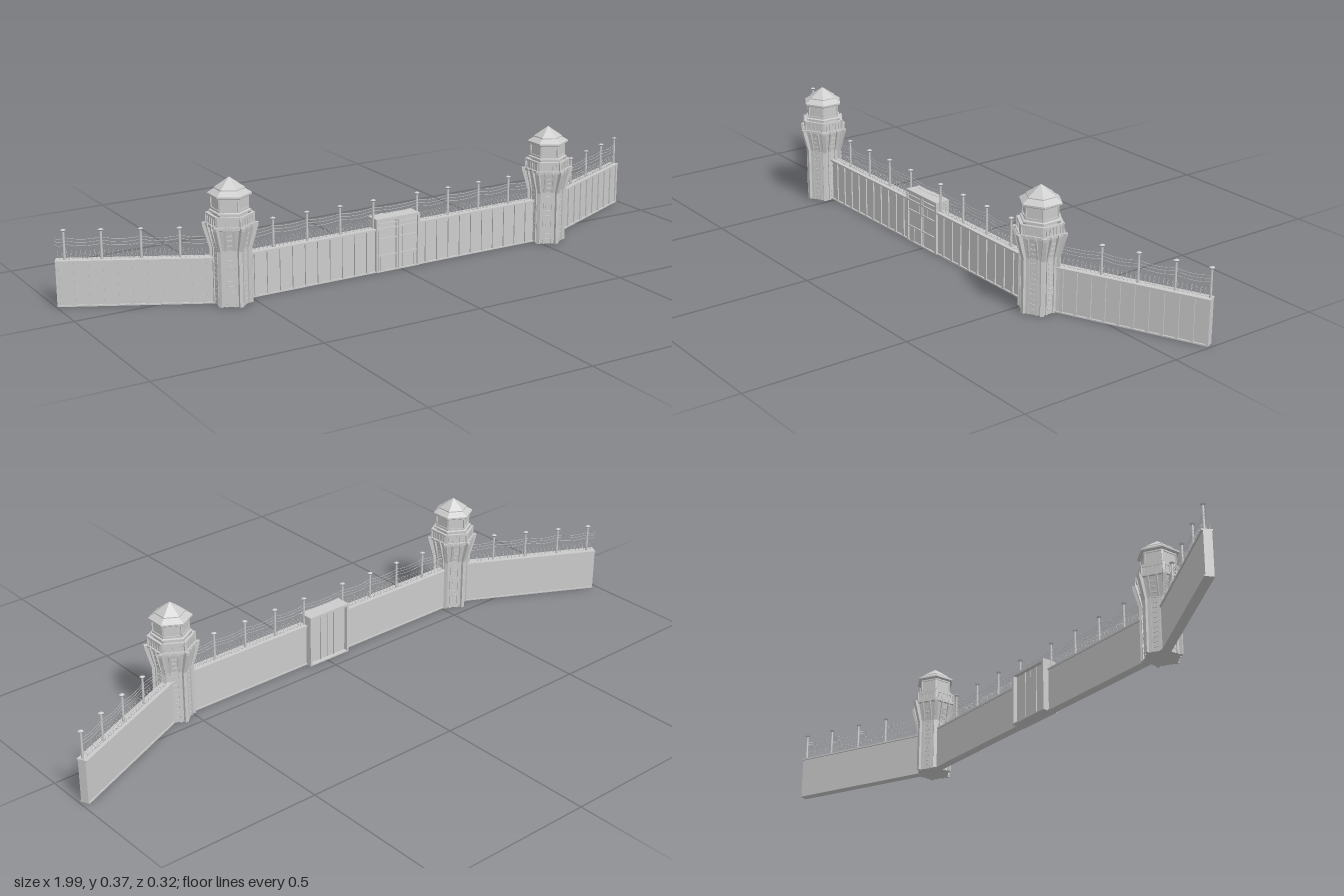
import * as THREE from 'three';

const grey = new THREE.MeshStandardMaterial({ color: 0xcccccc, flatShading: true });
const smooth = new THREE.MeshStandardMaterial({ color: 0xcccccc });

function add(parent, name, geo, x = 0, y = 0, z = 0, mat = grey) {
  const m = new THREE.Mesh(geo, mat);
  m.name = name;
  m.position.set(x, y, z);
  parent.add(m);
  return m;
}
const box = (parent, name, w, h, d, x, y, z) => add(parent, name, new THREE.BoxGeometry(w, h, d), x, y, z);

// Six-sided turned solid, one corner facing the front
const hex = (pts) => new THREE.LatheGeometry(pts.map(([r, y]) => new THREE.Vector2(r, y)), 6);

// Flat fin: outline in (radius, height), thickness centred on its plane
function fin(pts, width) {
  const g = new THREE.ExtrudeGeometry(new THREE.Shape(pts.map(([r, y]) => new THREE.Vector2(r, y))),
    { depth: width, bevelEnabled: false });
  return g.translate(0, 0, -width / 2);
}

function tower(x, z) {
  const g = new THREE.Group();
  g.name = 'watchtower';
  g.position.set(x, 0, z);

  // Shaft, gallery and cabin
  add(g, 'shaft', hex([[0, 0], [0.055, 0], [0.055, 0.165], [0.068, 0.226], [0.073, 0.228], [0.073, 0.236], [0, 0.236]]));
  add(g, 'parapet', hex([[0.06, 0.236], [0.066, 0.236], [0.066, 0.258], [0.069, 0.258], [0.069, 0.264], [0.06, 0.264], [0.06, 0.236]]));
  add(g, 'cabin', hex([[0.05, 0.236], [0.05, 0.266], [0.06, 0.268], [0.06, 0.272], [0.054, 0.274], [0.054, 0.28],
    [0.051, 0.28], [0.051, 0.308], [0.054, 0.308], [0.054, 0.315]]));
  add(g, 'roof', hex([[0, 0.313], [0.058, 0.313], [0.063, 0.316], [0.063, 0.321], [0.0435, 0.333],
    [0.0435, 0.336], [0, 0.366]]));

  const cornerFin = fin([[0.04, 0], [0.06, 0], [0.06, 0.163], [0.078, 0.226], [0.079, 0.235], [0.04, 0.235]], 0.011);
  const faceRib = fin([[0.035, 0], [0.051, 0], [0.051, 0.165], [0.067, 0.226], [0.067, 0.235], [0.035, 0.235]], 0.005);
  for (let i = 0; i < 6; i++) {
    // Corner buttress and cabin post
    const corner = new THREE.Group();
    corner.name = 'corner';
    corner.rotation.y = Math.PI / 6 + i * Math.PI / 3;
    g.add(corner);
    add(corner, 'buttress', cornerFin);
    box(corner, 'parapetPost', 0.006, 0.029, 0.007, 0.066, 0.2505, 0);
    box(corner, 'cabinPost', 0.005, 0.034, 0.005, 0.051, 0.294, 0);

    // Ribs, rungs and pickets of one side
    const side = new THREE.Group();
    side.name = 'side';
    side.rotation.y = i * Math.PI / 3;
    g.add(side);
    for (const s of [-1, 1]) add(side, 'rib', faceRib, 0, 0, s * 0.0125);
    for (let k = 0; k < 14; k++) {
      const y = 0.015 + k * 0.015;
      const r = 0.0475 + Math.max(0, y - 0.165) * 0.19;
      box(side, 'rung', 0.004, 0.004, 0.014, r, y, 0);
    }
    for (let k = -2; k <= 2; k++) box(side, 'picket', 0.003, 0.022, 0.004, 0.058, 0.247, k * 0.012);
  }
  return g;
}

// Fence post with a small pointed cap
function post(parent, x) {
  add(parent, 'fencePost', new THREE.CylinderGeometry(0.0032, 0.0038, 0.084, 8), x, 0.177, 0, smooth);
  add(parent, 'postCap', new THREE.CylinderGeometry(0.008, 0.0045, 0.004, 8), x, 0.219, 0);
  add(parent, 'postTip', new THREE.ConeGeometry(0.008, 0.004, 8), x, 0.223, 0);
}

// Three sagging strands between two posts
function strands(parent, a, b) {
  for (const y of [0.199, 0.19, 0.18]) {
    const curve = new THREE.QuadraticBezierCurve3(new THREE.Vector3(a, y, 0),
      new THREE.Vector3((a + b) / 2, y - 0.012, 0), new THREE.Vector3(b, y, 0));
    add(parent, 'wire', new THREE.TubeGeometry(curve, 10, 0.0007, 4), 0, 0, 0, smooth);
  }
}

// Coiled wire along the wall top
function coil(parent, a, b) {
  const turns = Math.round((b - a) / 0.013);
  const pts = [];
  for (let i = 0; i <= turns * 8; i++) {
    const t = i * Math.PI / 4;
    pts.push(new THREE.Vector3(a + (b - a) * i / (turns * 8), 0.149 + 0.013 * Math.cos(t), 0.013 * Math.sin(t)));
  }
  add(parent, 'wireCoil', new THREE.TubeGeometry(new THREE.CatmullRomCurve3(pts), turns * 10, 0.0006, 3), 0, 0, 0, smooth);
}

// Straight wall from (x0, z0) to (x1, z1); posts are given by their world x
function wall(name, x0, z0, x1, z1, postXs, coilRanges) {
  const g = new THREE.Group();
  g.name = name;
  const len = Math.hypot(x1 - x0, z1 - z0);
  g.position.set(x0, 0, z0);
  g.rotation.y = -Math.atan2(z1 - z0, x1 - x0);
  const local = (x) => (x - x0) / (x1 - x0) * len;

  box(g, 'wallPanel', len, 0.131, 0.02, len / 2, 0.0655, -0.001);
  box(g, 'wallFoot', len, 0.004, 0.028, len / 2, 0.002, 0);
  box(g, 'wallCap', len, 0.005, 0.031, len / 2, 0.1325, 0);
  const n = Math.round(len / 0.042);
  for (let i = 0; i <= n; i++) {
    box(g, 'wallRib', 0.009, 0.13, 0.006, 0.005 + (len - 0.01) * i / n, 0.065, 0.01);
  }
  const xs = postXs.map(local);
  xs.forEach((x) => post(g, x));
  const stops = [...new Set([0, ...xs, len])].sort((a, b) => a - b);
  for (let i = 1; i < stops.length; i++) {
    if (stops[i] - stops[i - 1] > 0.02) strands(g, stops[i - 1], stops[i]);
  }
  for (const [a, b] of coilRanges) coil(g, local(a), local(b));
  return g;
}

function gate() {
  const g = new THREE.Group();
  g.name = 'gate';
  g.position.set(-0.011, 0, 0);
  // Deep frame
  for (const s of [-1, 1]) box(g, 'jamb', 0.007, 0.165, 0.048, s * 0.0725, 0.0825, 0.065);
  box(g, 'lintel', 0.152, 0.008, 0.048, 0, 0.161, 0.065);
  box(g, 'sill', 0.152, 0.004, 0.048, 0, 0.002, 0.065);
  // Two leaves with rails
  for (const s of [-1, 1]) {
    box(g, 'gateLeaf', 0.068, 0.154, 0.03, s * 0.0348, 0.08, 0.069);
    for (const y of [0.05, 0.102, 0.148]) box(g, 'gateRail', 0.064, 0.004, 0.004, s * 0.0348, y, 0.086);
    box(g, 'gateStile', 0.004, 0.154, 0.004, s * 0.004, 0.08, 0.086);
    box(g, 'backStile', 0.004, 0.154, 0.004, s * 0.026, 0.08, 0.053);
  }
  // Small walk-through door
  box(g, 'wicketDoor', 0.022, 0.044, 0.004, -0.05, 0.026, 0.085);
  return g;
}

export function createModel() {
  const model = new THREE.Group();
  model.name = 'fortifiedWall';
  model.add(tower(-0.56, 0.083), tower(0.54, 0.083));
  model.add(wall('middleWall', -0.53, 0.072, 0.51, 0.072,
    [-0.42, -0.31, -0.2, -0.087, 0.065, 0.176, 0.288, 0.4], [[-0.5, -0.087], [0.065, 0.48]]));
  model.add(wall('rightWing', -0.991, -0.144, -0.585, 0.07,
    [-0.968, -0.877, -0.78, -0.685], [[-0.985, -0.62]]));
  model.add(wall('leftWing', 0.555, 0.065, 0.988, -0.133,
    [0.7, 0.797, 0.893, 0.983], [[0.6, 0.983]]));
  model.add(gate());
  return model;
}
